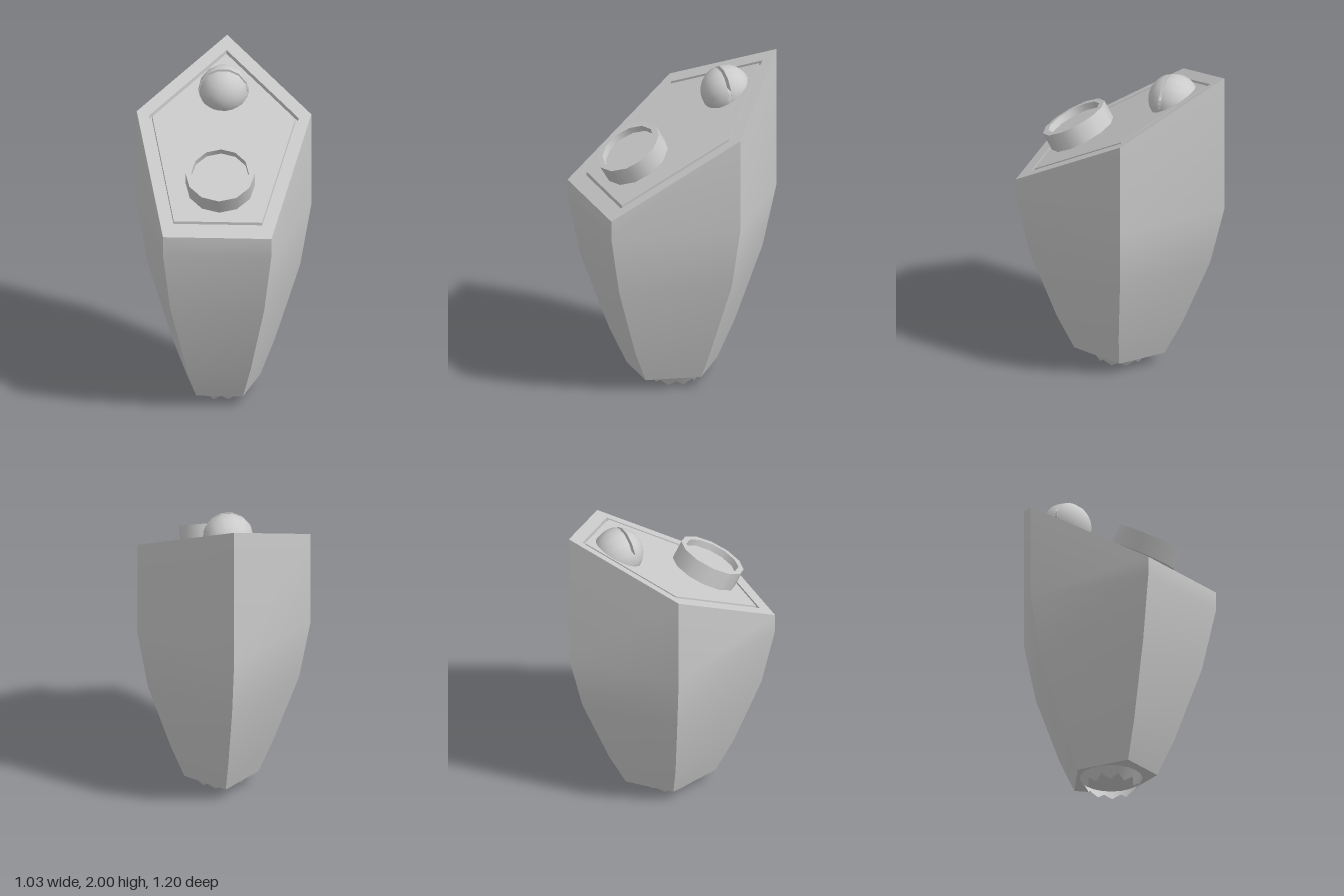
import * as THREE from 'three';
import { mergeGeometries } from 'three/addons/utils/BufferGeometryUtils.js';

const grey = new THREE.MeshStandardMaterial({ color: 0xcccccc });
const greyDouble = new THREE.MeshStandardMaterial({ color: 0xcccccc, side: THREE.DoubleSide });

// height of the slanted top face
const slope = (z) => 1.6175 - 0.6375 * z;

// five-sided loop: front-right, front-left, left, back, right
function pentagon(frontR, frontL, frontZ, sideX, sideZ, backZ, height) {
  return [[-frontR, frontZ], [frontL, frontZ], [sideX, sideZ], [0, backZ], [-sideX, sideZ]]
    .map(([x, z]) => new THREE.Vector3(x, height(z), z));
}

function fromPoints(points, index) {
  const g = new THREE.BufferGeometry().setFromPoints(points);
  g.setIndex(index);
  g.computeVertexNormals();
  return g;
}

// skin over a stack of loops: smooth along each side, sharp at the corners
function skin(loops) {
  const n = loops[0].length;
  return loops[0].map((_, i) => {
    const points = [], index = [];
    loops.forEach((loop, k) => {
      points.push(loop[i], loop[(i + 1) % n]);
      if (k) {
        const a = 2 * k - 2;
        index.push(a, a + 1, a + 3, a, a + 3, a + 2);
      }
    });
    return fromPoints(points, index);
  });
}

function cap(loop, down) {
  const index = [];
  for (let i = 1; i < loop.length - 1; i++) index.push(0, ...(down ? [i + 1, i] : [i, i + 1]));
  return fromPoints(loop, index);
}

export function createModel() {
  const model = new THREE.Group();
  const add = (name, geometry, parent = model, material = grey) => {
    const mesh = new THREE.Mesh(geometry, material);
    mesh.name = name;
    parent.add(mesh);
    return mesh;
  };

  // tapered pentagonal body
  const loops = [
    pentagon(0.145, 0.13, 0.30, 0.22, -0.02, -0.22, () => 0.07),
    pentagon(0.20, 0.18, 0.39, 0.305, -0.05, -0.33, () => 0.29),
    pentagon(0.29, 0.265, 0.53, 0.45, -0.115, -0.51, () => 0.74),
    pentagon(0.33, 0.31, 0.60, 0.515, -0.14, -0.60, () => 1.12),
    pentagon(0.33, 0.31, 0.60, 0.515, -0.14, -0.60, slope),
  ];
  add('body', mergeGeometries([...skin(loops), cap(loops[0], true)]));

  // slanted top face with a narrow groove around the panel
  const sunk = (z) => slope(z) - 0.025;
  const outer = [0.285, 0.265, 0.52, 0.442, -0.115, -0.51];
  const inner = [0.27, 0.25, 0.505, 0.422, -0.11, -0.488];
  const topLoops = [
    loops[4],
    pentagon(...outer, slope),
    pentagon(...outer, sunk),
    pentagon(...inner, sunk),
    pentagon(...inner, slope),
  ];
  const topParts = topLoops.slice(1).flatMap((loop, k) => skin([topLoops[k], loop]));
  add('topPanel', mergeGeometries([...topParts, cap(topLoops[4], false)]));

  // shallow round cup, tilted with the top
  const cup = new THREE.Group();
  cup.name = 'cup';
  cup.position.set(-0.003, 1.445, 0.2975);
  cup.rotation.x = Math.PI / 6;
  model.add(cup);
  const wall = (r, y0, y1) => new THREE.CylinderGeometry(r, r, y1 - y0, 12, 1, true).translate(0, (y0 + y1) / 2, 0);
  add('cupOuterWall', wall(0.205, 0, 0.115), cup);
  add('cupInnerWall', wall(0.17, 0.073, 0.115), cup, greyDouble);
  const flat = (g, y) => g.rotateX(-Math.PI / 2).translate(0, y, 0);
  add('cupRim', flat(new THREE.RingGeometry(0.17, 0.205, 12), 0.115), cup);
  add('cupFloor', flat(new THREE.CircleGeometry(0.17, 12), 0.073), cup);
  add('cupBase', new THREE.CircleGeometry(0.205, 12).rotateX(Math.PI / 2), cup);

  // domed screw head, split by an upright slot
  const screw = new THREE.Group();
  screw.name = 'screwHead';
  screw.position.set(-0.007, 1.793, -0.277);
  model.add(screw);
  const R = 0.15, slotFront = 0.045, slotBack = 0.027;
  // part of a ball between two angles from the +z pole
  const ball = (from, to) =>
    new THREE.SphereGeometry(R, 14, 8, 0, Math.PI * 2, from, to - from).rotateX(Math.PI / 2);
  const disc = (z) => new THREE.CircleGeometry(Math.sqrt(R * R - z * z), 14).translate(0, 0, z);
  add('screwFront', ball(0, Math.acos(slotFront / R)), screw);
  add('screwBack', ball(Math.acos(slotBack / R), Math.PI), screw);
  add('slotFrontFace', disc(slotFront), screw, greyDouble);
  add('slotBackFace', disc(slotBack), screw);
  const phi = Math.asin(0.05 / 0.143);
  const web = new THREE.Shape().absarc(0, 0, 0.143, Math.PI - phi, 2 * Math.PI + phi, false);
  add('slotFloor', new THREE.ExtrudeGeometry(web, {
    depth: slotFront - slotBack, bevelEnabled: false, curveSegments: 10,
  }).translate(0, 0, slotBack), screw);

  // toothed collar underneath
  const teeth = 10;
  const collar = new THREE.CylinderGeometry(0.185, 0.14, 0.07, teeth * 2, 1, true);
  const p = collar.attributes.position;
  for (let i = 0; i < p.count; i++) {
    if (p.getY(i) < 0 && (i % (teeth * 2 + 1)) % 2 === 0) {
      p.setXYZ(i, p.getX(i) * 1.15, 0, p.getZ(i) * 1.15);
    }
  }
  collar.translate(-0.003, 0.035, 0.06);
  add('toothedCollar', collar, model, greyDouble);

  return model;
}
